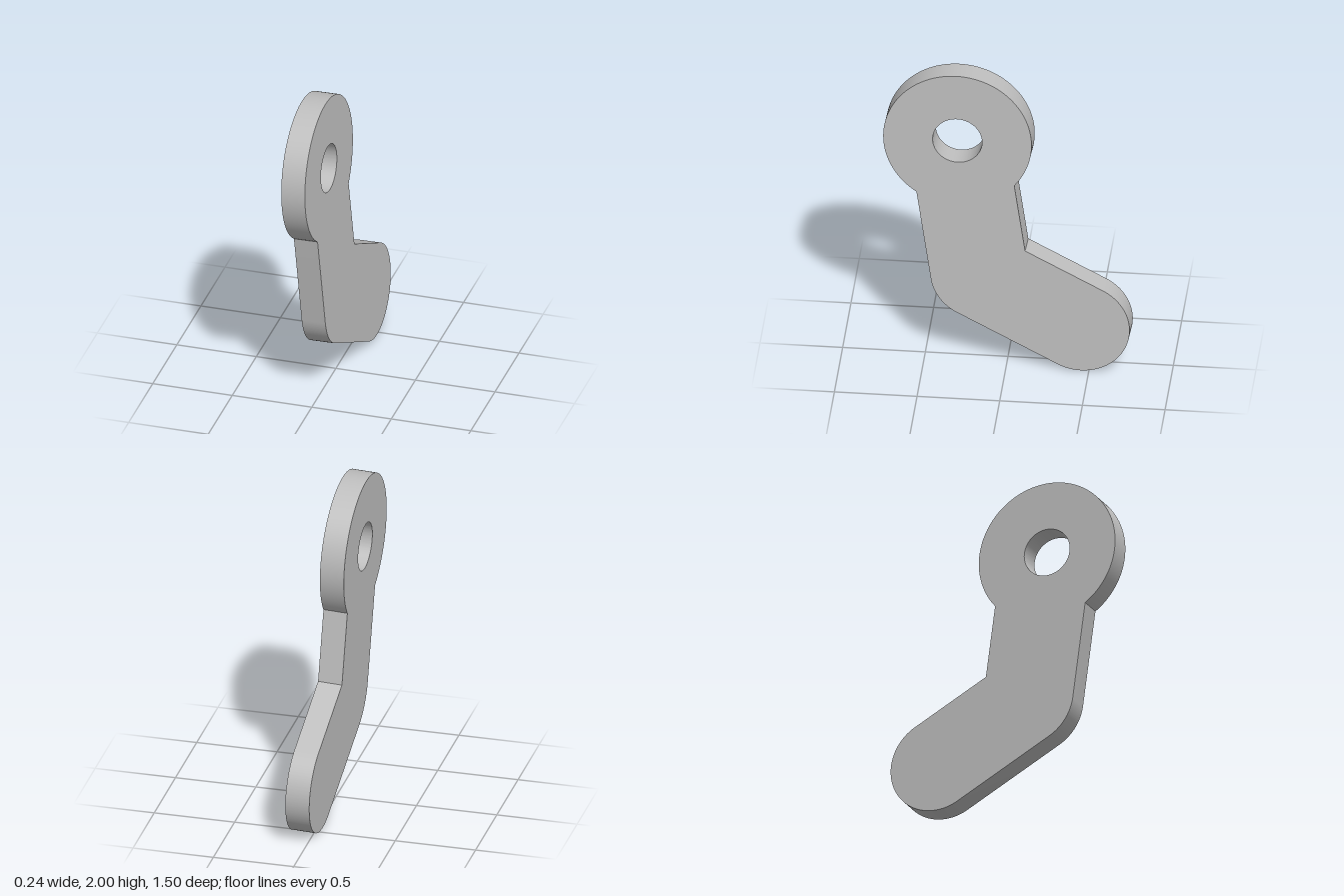
import * as THREE from 'three';
import { toCreasedNormals } from 'three/addons/utils/BufferGeometryUtils.js';

const THICKNESS = 0.15, ARM_R = 0.3, EYE_R = 0.45, HOLE_R = 0.15;

// Bent arm outline: a round foot, a rounded elbow and a larger eye at the top
function leverShape() {
  const eye = new THREE.Vector2(-0.3, 1.548);
  const elbow = new THREE.Vector2(-0.16, 0.612);
  const foot = new THREE.Vector2(0.45, 0.302);
  const up = eye.clone().sub(elbow).angle();
  const out = foot.clone().sub(elbow).angle() - 2 * Math.PI;
  const quarter = Math.PI / 2;
  const neck = Math.asin(ARM_R / EYE_R);

  const shape = new THREE.Shape();
  shape.absarc(foot.x, foot.y, ARM_R, out - quarter, out + quarter, false);
  // Sharp inside corner of the bend
  const mid = (up + out) / 2, reach = ARM_R / Math.sin((up - out) / 2);
  shape.lineTo(elbow.x + reach * Math.cos(mid), elbow.y + reach * Math.sin(mid));
  shape.absarc(eye.x, eye.y, EYE_R, up - Math.PI + neck, up + Math.PI - neck, false);
  shape.absarc(elbow.x, elbow.y, ARM_R, up + quarter, out - quarter + 2 * Math.PI, false);
  shape.closePath();

  const hole = new THREE.Path();
  hole.absarc(eye.x, eye.y, HOLE_R, 0, Math.PI * 2, true);
  shape.holes.push(hole);
  return shape;
}

export function createModel() {
  const group = new THREE.Group();
  group.name = 'lever';
  const grey = new THREE.MeshStandardMaterial({ color: 0xbfbfbf });
  grey.name = 'grey';

  const extruded = new THREE.ExtrudeGeometry(leverShape(), {
    depth: THICKNESS, bevelEnabled: false, curveSegments: 64,
  });
  extruded.translate(0, 0, -THICKNESS / 2);

  // Stand the plate facing +x, leaning slightly
  const normal = new THREE.Vector3(1, 0.031, 0.031).normalize();
  const along = new THREE.Vector3(0, 1, 0).cross(normal).normalize();
  const upward = normal.clone().cross(along);
  extruded.applyMatrix4(new THREE.Matrix4().makeBasis(along, upward, normal));

  // Centre on x and z, and rest on the ground
  extruded.computeBoundingBox();
  const box = extruded.boundingBox, c = box.getCenter(new THREE.Vector3());
  extruded.translate(-c.x, -box.min.y, -c.z);

  const plate = new THREE.Mesh(toCreasedNormals(extruded, 0.35), grey);
  plate.name = 'leverPlate';
  group.add(plate);
  return group;
}
